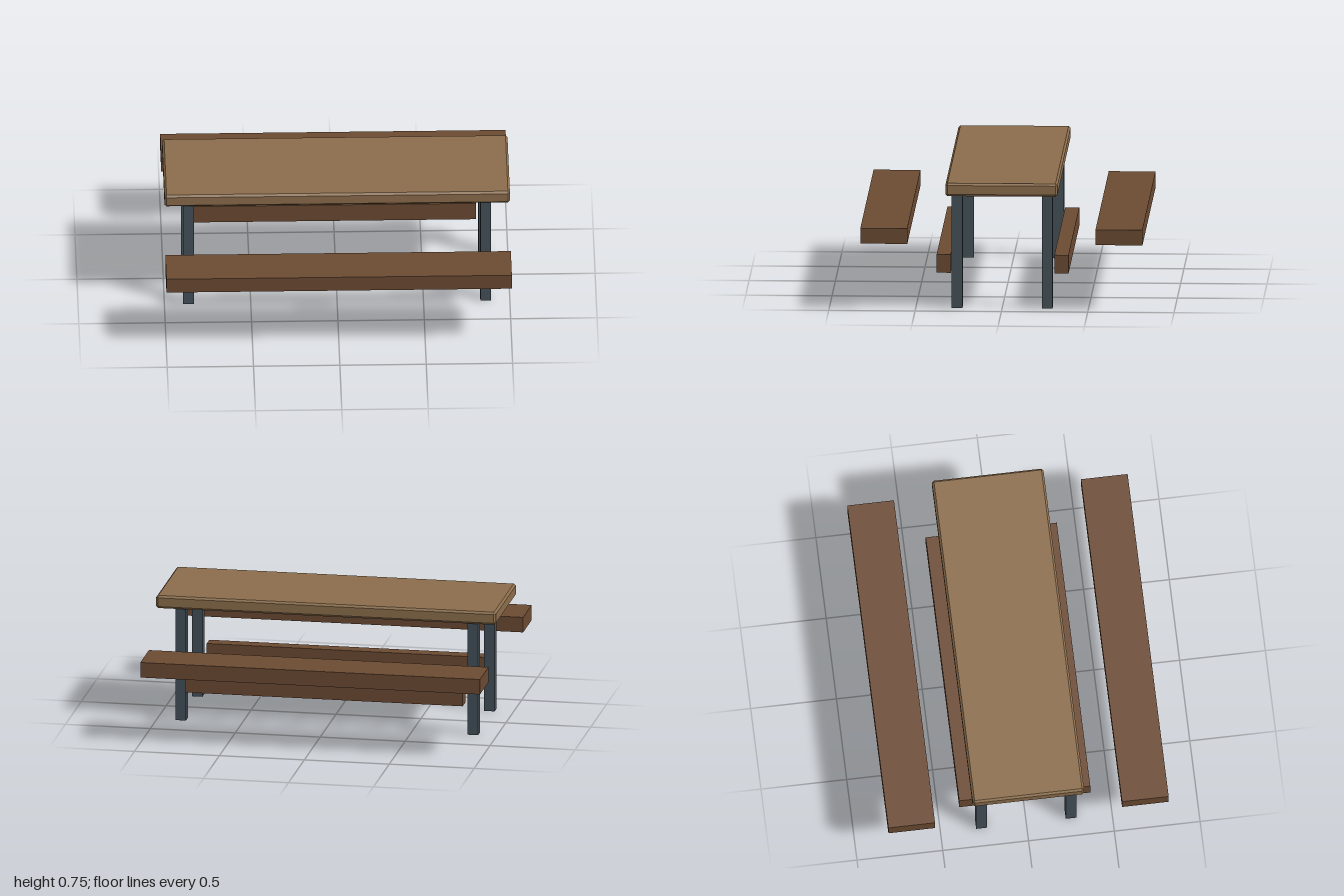
import * as THREE from 'three';
import { ConvexGeometry } from 'three/addons/geometries/ConvexGeometry.js';

const wood = new THREE.MeshStandardMaterial({ color: 0x8b6d4b });
const darkWood = new THREE.MeshStandardMaterial({ color: 0x6b4a32 });
const metal = new THREE.MeshStandardMaterial({ color: 0x435058 });

// Box with every edge cut by a small flat chamfer
function chamferedBox(w, h, d, c) {
  const points = [];
  for (const x of [-w / 2, w / 2]) for (const y of [-h / 2, h / 2]) for (const z of [-d / 2, d / 2]) {
    const ix = x - Math.sign(x) * c, iy = y - Math.sign(y) * c, iz = z - Math.sign(z) * c;
    points.push(
      new THREE.Vector3(x, iy, iz),
      new THREE.Vector3(ix, y, iz),
      new THREE.Vector3(ix, iy, z),
    );
  }
  return new ConvexGeometry(points);
}

export function createModel() {
  const group = new THREE.Group();
  const add = (name, geometry, material, x, y, z) => {
    const mesh = new THREE.Mesh(geometry, material);
    mesh.name = name;
    mesh.position.set(x, y, z);
    group.add(mesh);
  };

  add('tableTop', chamferedBox(2, 0.076, 0.65, 0.012), wood, 0, 0.712, 0);

  const leg = new THREE.BoxGeometry(0.062, 0.675, 0.062);
  const bench = new THREE.BoxGeometry(2, 0.09, 0.272);
  const rail = new THREE.BoxGeometry(1.634, 0.107, 0.082);

  // Front and back halves mirror each other
  for (const [side, s] of [['front', 1], ['back', -1]]) {
    add(side + 'Bench', bench, darkWood, 0, 0.439, s * 0.681);
    add(side + 'Rail', rail, darkWood, 0, 0.248, s * 0.341);
    add(side + 'LeftLeg', leg, metal, 0.86, 0.3375, s * 0.261);
    add(side + 'RightLeg', leg, metal, -0.86, 0.3375, s * 0.261);
  }
  return group;
}
